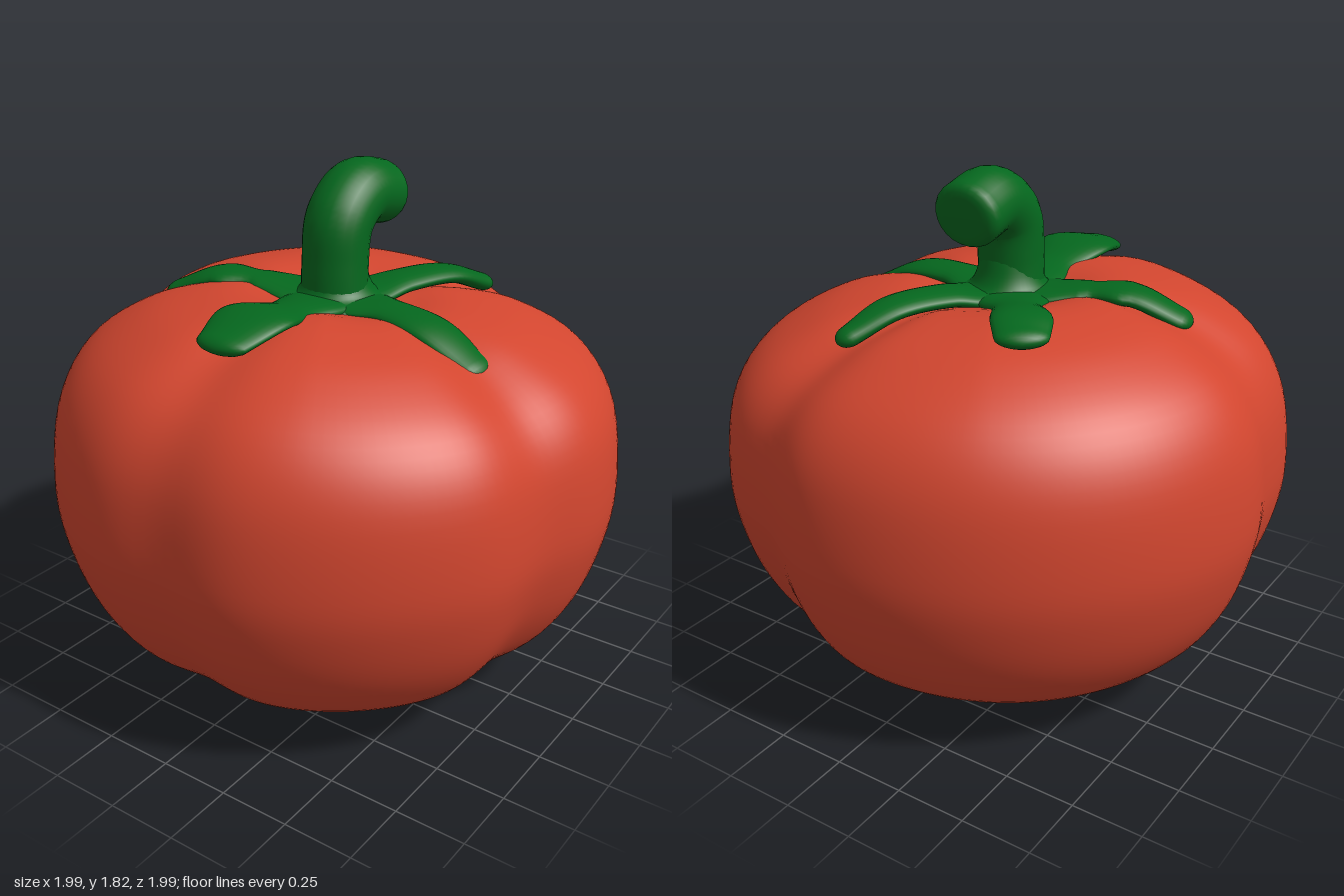
import * as THREE from 'three';
import { mergeVertices } from 'three/addons/utils/BufferGeometryUtils.js';

const v3 = (a) => new THREE.Vector3(...a);
const { smoothstep, radToDeg, degToRad, euclideanModulo } = THREE.MathUtils;

// Weld shared vertices so the normals run smoothly across seams
function smooth(geometry) {
  geometry.deleteAttribute('uv');
  geometry.deleteAttribute('normal');
  const welded = mergeVertices(geometry, 1e-4);
  welded.computeVertexNormals();
  return welded;
}

// Sweep an oval along a path; sizes are [half width, half height],
// caps are [distance past the end, scale] rings that close the tip
function sweep(path, sizes, caps, fixedSide) {
  const curve = new THREE.CatmullRomCurve3(path.map(v3));
  const size = new THREE.CatmullRomCurve3(sizes.map(([w, h]) => v3([w, h, 0])));
  const steps = 32, sides = 24, positions = [], index = [];
  const rings = [];
  for (let i = 0; i <= steps; i++) rings.push([i / steps, 0, 1]);
  for (const [offset, scale] of caps) rings.push([1, offset, scale]);
  for (const [t, offset, scale] of rings) {
    const T = curve.getTangent(t);
    const S = fixedSide ? fixedSide.clone() : T.clone().cross(v3([0, 1, 0])).normalize();
    const U = S.clone().cross(T);
    const s = size.getPoint(t);
    const centre = curve.getPoint(t).addScaledVector(T, offset);
    for (let j = 0; j < sides; j++) {
      const a = (j / sides) * Math.PI * 2;
      const p = centre.clone()
        .addScaledVector(S, Math.cos(a) * s.x * scale)
        .addScaledVector(U, Math.sin(a) * s.y * scale);
      positions.push(p.x, p.y, p.z);
    }
  }
  for (let i = 0; i < rings.length - 1; i++) {
    for (let j = 0; j < sides; j++) {
      const k = (j + 1) % sides;
      const a = i * sides + j, b = i * sides + k;
      index.push(a, a + sides, b, b, a + sides, b + sides);
    }
  }
  const g = new THREE.BufferGeometry();
  g.setAttribute('position', new THREE.Float32BufferAttribute(positions, 3));
  g.setIndex(index);
  return smooth(g);
}

function splineProfile(points, count) {
  const pts = new THREE.SplineCurve(points.map(([x, y]) => new THREE.Vector2(x, y))).getPoints(count);
  pts.forEach((p) => { p.x = Math.max(p.x, 0); });
  return pts;
}

// Round fruit with four soft creases running from top to bottom
function fruitGeometry() {
  const profile = splineProfile([
    [0, 0.02], [0.16, 0.0], [0.4, 0.022], [0.6, 0.085], [0.78, 0.2], [0.9, 0.36], [0.972, 0.55],
    [1.0, 0.75], [0.967, 1.02], [0.86, 1.21], [0.67, 1.335], [0.48, 1.39],
    [0.32, 1.4], [0.16, 1.36], [0, 1.33],
  ], 72);
  const g = new THREE.LatheGeometry(profile, 144);
  // angle and depth of each crease
  const creases = [[24, 0.055], [102, 0.052], [180, 0.042], [258, 0.052]];
  const pos = g.attributes.position;
  for (let i = 0; i < pos.count; i++) {
    const x = pos.getX(i), y = pos.getY(i), z = pos.getZ(i);
    const angle = radToDeg(Math.atan2(z, x));
    let dent = 0;
    for (const [c, depth] of creases) {
      const d = euclideanModulo(angle - c + 180, 360) - 180;
      dent += depth * Math.exp(-((d / 11) ** 2));
    }
    dent *= smoothstep(Math.hypot(x, z), 0.08, 0.55) * (0.6 + 0.4 * smoothstep(y, 0, 0.4));
    // the front shoulder sits a little lower than the back one
    const low = 0.045 * Math.max(0, Math.cos(degToRad(angle - 63)))
      * smoothstep(y, 0.95, 1.35) * smoothstep(Math.hypot(x, z), 0.05, 0.3);
    // the lobes on the right bulge slightly further out
    const bulge = 0.022 * Math.max(0, -Math.cos(degToRad(angle)));
    const k = 1.003 - dent + bulge;
    pos.setXYZ(i, x * k - 0.006, 0.72 + (y - 0.72) * (1 - dent) - low, z * k);
  }
  return smooth(g);
}

export function createModel() {
  const red = new THREE.MeshStandardMaterial({ color: 0xd2462f });
  red.name = 'tomato red';
  const green = new THREE.MeshStandardMaterial({ color: 0x05671e });
  green.name = 'stem green';

  const group = new THREE.Group();
  group.name = 'tomato';
  const add = (name, geometry, material) => {
    const mesh = new THREE.Mesh(geometry, material);
    mesh.name = name;
    group.add(mesh);
  };

  add('fruit', fruitGeometry(), red);

  // Bent stem with a blunt cut end
  add('stem', sweep(
    [[-0.025, 1.33, 0], [-0.025, 1.49, 0], [0.0, 1.63, 0], [0.1, 1.705, 0], [0.228, 1.686, 0]],
    [[0.125, 0.115], [0.118, 0.11], [0.12, 0.114], [0.122, 0.115], [0.125, 0.113]],
    [[0.012, 0.97], [0.024, 0.9], [0.032, 0.78], [0.035, 0.6], [0.035, 0]],
    new THREE.Vector3(0, 0, 1),
  ), green);

  // Flared collar where the sepals meet the stem
  const collar = new THREE.LatheGeometry(splineProfile(
    [[0.18, 1.31], [0.205, 1.345], [0.185, 1.37], [0.14, 1.39], [0.115, 1.43], [0.1, 1.49]], 24), 48);
  collar.translate(-0.015, 0, 0);
  add('collar', smooth(collar), green);

  // Five draped sepals with broad roots: x, y, z, half width
  const sepals = {
    leftSepal: [[-0.05, 1.36, 0, 0.14], [-0.17, 1.37, 0, 0.125], [-0.29, 1.38, 0, 0.1], [-0.46, 1.415, 0, 0.14], [-0.63, 1.38, 0.005, 0.1]],
    backSepal: [[-0.02, 1.355, -0.04, 0.14], [-0.055, 1.37, -0.16, 0.12], [-0.085, 1.385, -0.27, 0.085], [-0.13, 1.39, -0.43, 0.085], [-0.175, 1.325, -0.58, 0.068]],
    backRightSepal: [[0.02, 1.355, -0.03, 0.14], [0.12, 1.37, -0.11, 0.12], [0.21, 1.39, -0.18, 0.085], [0.36, 1.425, -0.295, 0.1], [0.45, 1.405, -0.355, 0.088]],
    frontRightSepal: [[0.02, 1.355, 0.02, 0.14], [0.12, 1.365, 0.07, 0.115], [0.21, 1.38, 0.115, 0.09], [0.4, 1.375, 0.195, 0.078], [0.55, 1.315, 0.25, 0.05]],
    frontSepal: [[-0.025, 1.355, 0.04, 0.14], [-0.04, 1.36, 0.15, 0.115], [-0.055, 1.365, 0.26, 0.083], [-0.08, 1.345, 0.43, 0.088], [-0.1, 1.265, 0.6, 0.072]],
  };
  const roundTip = [1, 2, 3, 4, 5, 6].map((k) => {
    const a = (k / 6) * Math.PI / 2;
    return [0.05 * Math.sin(a), Math.cos(a)];
  });
  for (const [name, points] of Object.entries(sepals)) {
    add(name, sweep(
      points.map(([x, y, z]) => [x, y, z]),
      points.map(([, , , w]) => [w, 0.032]),
      roundTip,
    ), green);
  }
  return group;
}
